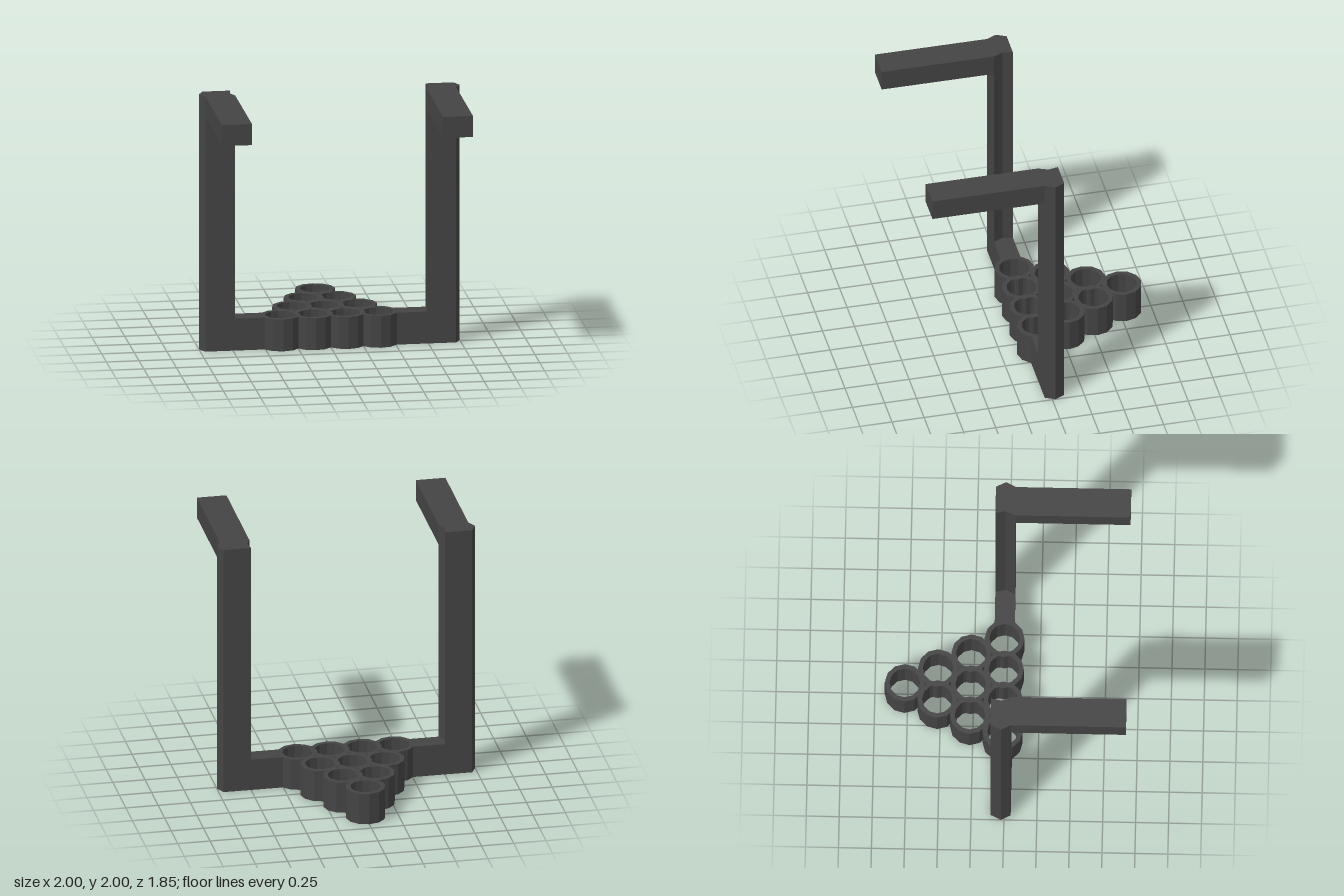
import * as THREE from 'three';

const material = new THREE.MeshStandardMaterial({ color: 0x444444, flatShading: true });

// Upright prism from a floor outline given as [x, z] points
function prism(name, outline, y0, y1, hole) {
  const toV = ([x, z]) => new THREE.Vector2(x, -z);
  const shape = new THREE.Shape(outline.map(toV));
  if (hole) shape.holes.push(new THREE.Path(hole.map(toV)));
  const geo = new THREE.ExtrudeGeometry(shape, { depth: y1 - y0, bevelEnabled: false });
  geo.rotateX(-Math.PI / 2).translate(0, y0, 0);
  const mesh = new THREE.Mesh(geo, material);
  mesh.name = name;
  return mesh;
}

// Regular polygon outline, counter-clockwise from above so hole walls face inward
function polygon(radius, sides) {
  return Array.from({ length: sides }, (_, i) => {
    const a = (i / sides) * Math.PI * 2;
    return [radius * Math.cos(a), -radius * Math.sin(a)];
  });
}

export function createModel() {
  const model = new THREE.Group();
  model.name = 'cupRackFrame';

  const back = -0.101, mid = -0.023, front = 0.051;
  const baseHeight = 0.25, pitch = 0.25;

  for (const [side, s] of [['left', 1], ['right', -1]]) {
    const mirror = (pts) => pts.map(([x, z]) => [s * x, z]);

    // Post with a pointed outer side and a notched inner side
    model.add(prism(side + 'Post', mirror([
      [0.962, back], [1, mid], [0.962, front],
      [0.733, front], [0.765, mid], [0.75, back],
    ]), 0, 2));

    // Arm reaching forward from the top of the post
    model.add(prism(side + 'Arm', mirror([
      [0.962, front], [0.962, 0.926], [0.733, 0.926], [0.733, front],
    ]), 1.835, 2));

    // Crossbar from the post into the wall of the end ring
    model.add(prism(side + 'Crossbar', mirror([
      [0.78, back], [0.78, front], [0.49, front], [0.508, mid], [0.49, back],
    ]), 0, baseHeight));
  }

  // Triangle of open twelve-sided rings, four in front down to one at the back
  const rings = new THREE.Group();
  rings.name = 'ringTriangle';
  for (let row = 0; row < 4; row++) {
    const count = 4 - row;
    for (let i = 0; i < count; i++) {
      const ring = prism('ring', polygon(0.152, 12), 0, baseHeight, polygon(0.116, 12));
      ring.position.set((i - (count - 1) / 2) * pitch, 0, mid - row * pitch);
      rings.add(ring);
    }
  }
  model.add(rings);

  return model;
}
